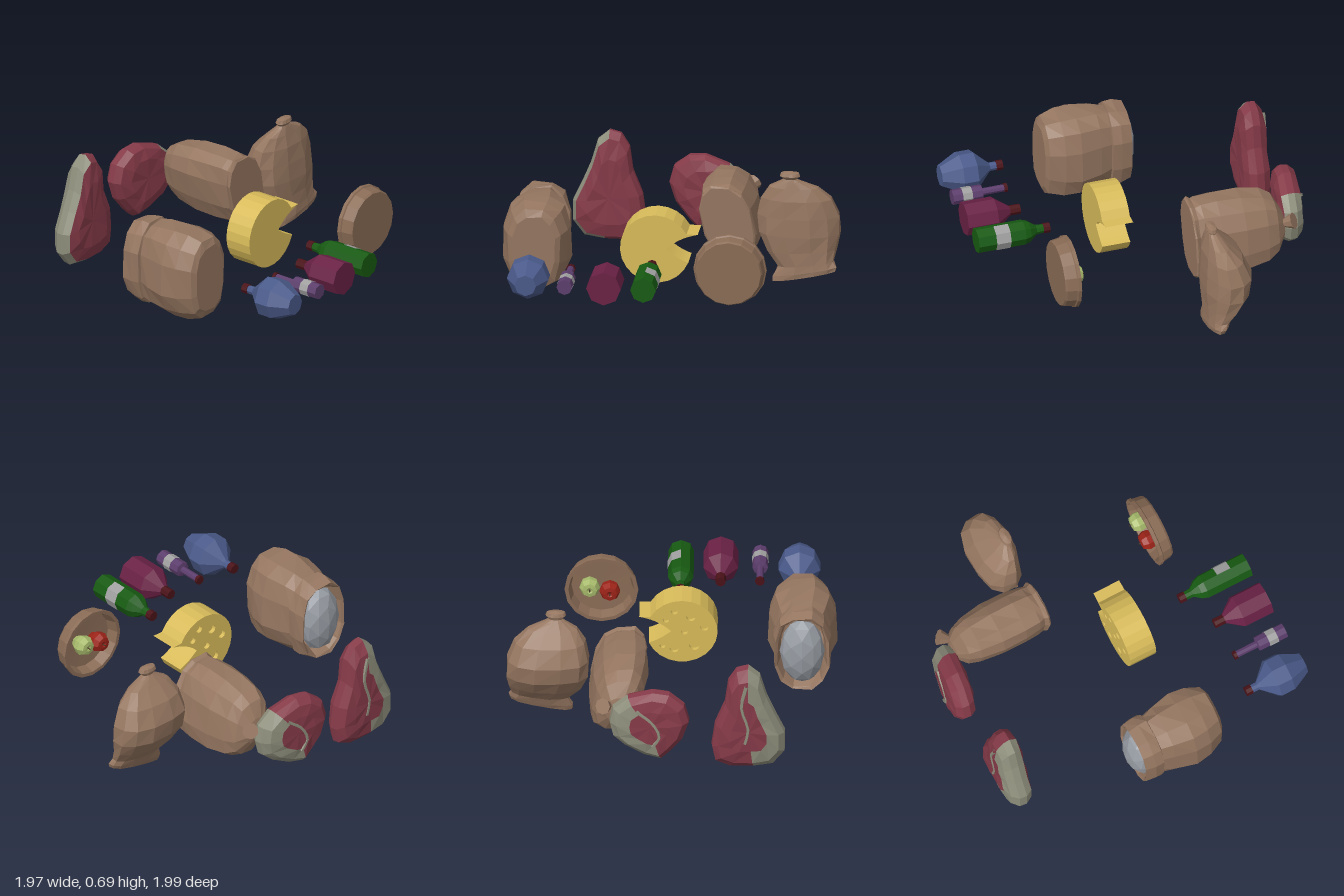
import * as THREE from 'three';

const CY = 0.355;
const BROWN = 0x957660, FAT = 0x8e8e7c, CAP = 0x4a1218;

function mesh(name, geo, color, parent) {
  const mat = new THREE.MeshStandardMaterial({ color, flatShading: true, side: THREE.DoubleSide });
  const m = new THREE.Mesh(geo, mat);
  m.name = name;
  parent.add(m);
  return m;
}

// Skin over closed rings of points; keep(row, column) selects faces
function loft(rings, keep = () => true) {
  const pos = [], n = rings[0].length;
  for (let i = 0; i < rings.length - 1; i++) for (let j = 0; j < n; j++) {
    if (!keep(i, j)) continue;
    const k = (j + 1) % n;
    const a = rings[i][j], b = rings[i][k], c = rings[i + 1][k], d = rings[i + 1][j];
    for (const p of [a, b, c, a, c, d]) pos.push(...p);
  }
  const g = new THREE.BufferGeometry();
  g.setAttribute('position', new THREE.Float32BufferAttribute(pos, 3));
  g.computeVertexNormals();
  return g;
}

// Softly squared ellipse with small lumps, as [u, v] pairs
function lumpyRing(ru, rv, row, power = 0.78, n = 12) {
  return Array.from({ length: n }, (_, j) => {
    const t = (j + 0.5) / n * Math.PI * 2, c = Math.cos(t), s = Math.sin(t);
    const k = 1 + 0.025 * Math.sin(row * 5.1 + j * 3.7);
    return [Math.sign(c) * Math.abs(c) ** power * ru * k, Math.sign(s) * Math.abs(s) ** power * rv * k];
  });
}

// Sack along z: rows of [z, half width, half height]
function lyingSack(rows, cx, lean) {
  return loft(rows.map(([z, rx, ry], i) =>
    lumpyRing(rx, ry, i).map(([u, v]) => [cx + u + lean * v, CY + v, z])));
}

// Lathe whose axis points to -z, standing on the plane z = base
function turned(name, pts, sides, x, base, color, parent) {
  const g = new THREE.LatheGeometry(pts.map(p => new THREE.Vector2(...p)), sides);
  g.rotateX(-Math.PI / 2).translate(x, CY, base);
  return mesh(name, g, color, parent);
}

function bottle(name, x, color, profile, capR, capLow, capTop, parent, label) {
  const g = new THREE.Group();
  g.name = name;
  parent.add(g);
  turned('glass', profile, 8, x, 0.99, color, g);
  turned('cap', [[0, capLow], [capR, capLow], [capR, capTop], [0, capTop]], 8, x, 0.99, CAP, g);
  if (label) {
    const { r, low, high, segments } = label;
    const l = new THREE.CylinderGeometry(r, r, high - low, segments, 1, true, 0, segments * Math.PI / 4);
    l.translate(0, (low + high) / 2, 0).rotateX(-Math.PI / 2).translate(x, CY, 0.99);
    mesh('label', l, 0xa0a0a0, g);
  }
}

// Slab of meat from an outline, with a run of its rim made of fat
function steak(name, outline, cx, cy, zAt, half, fatFrom, fatTo, seam, parent) {
  const g = new THREE.Group();
  g.name = name;
  parent.add(g);
  const rows = [[0, -1], [0.5, -0.97], [0.82, -0.8], [0.98, -0.3], [1, 0.25], [0.9, 0.75], [0.6, 1], [0, 0.96]];
  const rings = rows.map(([s, d], i) => outline.map(([x, y], j) => {
    const px = cx + (x - cx) * s, lump = s ? 1 + 0.05 * Math.sin(i * 4.3 + j * 2.9) : 1;
    return [px, cy + (y - cy) * s, zAt(px) + d * half * lump];
  }));
  const isFat = (i, j) => i >= 1 && i <= 4 && j >= fatFrom && j < fatTo;
  mesh('meat', loft(rings, (i, j) => !isFat(i, j)), 0x853a48, g);
  mesh('fat', loft(rings, isFat), FAT, g);
  // Fat seam on the back
  const path = new THREE.CatmullRomCurve3(seam.map(([x, y]) => new THREE.Vector3(x, y, zAt(x) - half * 0.93)));
  mesh('fatSeam', new THREE.TubeGeometry(path, 8, 0.012, 5), FAT, g);
}

export function createModel() {
  const root = new THREE.Group();
  root.name = 'foodSupplies';

  // Open sack with rolled collar and flour
  const open = new THREE.Group();
  open.name = 'openSack';
  root.add(open);
  mesh('cloth', lyingSack([
    [-0.08, 0.13, 0.2], [-0.165, 0.15, 0.235], [-0.175, 0.165, 0.25], [-0.11, 0.175, 0.268],
    [-0.055, 0.172, 0.27], [-0.05, 0.155, 0.255], [0.02, 0.178, 0.272], [0.15, 0.21, 0.282],
    [0.25, 0.198, 0.277], [0.34, 0.16, 0.255], [0.36, 0.13, 0.21], [0.36, 0, 0]], -0.785, 0), BROWN, open);
  const flour = mesh('flour', new THREE.IcosahedronGeometry(1, 1), 0x979ca3, open);
  flour.scale.set(0.135, 0.215, 0.1);
  flour.position.set(-0.785, CY, -0.13);

  // Tied sack lying down
  const tied = new THREE.Group();
  tied.name = 'tiedSack';
  root.add(tied);
  mesh('cloth', lyingSack([
    [-0.83, 0, 0], [-0.81, 0.07, 0.08], [-0.76, 0.12, 0.17], [-0.69, 0.145, 0.21], [-0.55, 0.165, 0.235],
    [-0.4, 0.165, 0.24], [-0.3, 0.155, 0.235], [-0.265, 0.145, 0.225], [-0.24, 0.158, 0.235],
    [-0.23, 0.15, 0.225], [-0.23, 0, 0]], 0.31, -0.2), BROWN, tied);
  const knot = mesh('knot', new THREE.CylinderGeometry(0.05, 0.028, 0.06, 8), BROWN, tied);
  knot.position.set(0.385, 0.395, -0.835);
  knot.rotation.set(-1.1, 0, -0.5);

  // Tied sack standing up: [y, centre x, centre z, half width, half depth, tilt]
  const standRows = [
    [0.05, 0.77, -0.235, 0, 0, 0.2], [0.045, 0.77, -0.235, 0.19, 0.05, 0.2], [0.075, 0.775, -0.24, 0.195, 0.058, 0.18],
    [0.12, 0.78, -0.25, 0.17, 0.065, 0.12], [0.2, 0.75, -0.285, 0.215, 0.1, 0.05], [0.3, 0.735, -0.315, 0.25, 0.135, 0],
    [0.41, 0.73, -0.325, 0.25, 0.14, 0], [0.52, 0.72, -0.305, 0.215, 0.11, 0], [0.595, 0.705, -0.275, 0.15, 0.06, 0],
    [0.635, 0.69, -0.26, 0.065, 0.035, 0], [0.65, 0.685, -0.255, 0.04, 0.025, 0], [0.67, 0.685, -0.25, 0.062, 0.035, 0],
    [0.69, 0.685, -0.25, 0.055, 0.028, 0], [0.7, 0.685, -0.25, 0, 0, 0]];
  mesh('standingSack', loft(standRows.map(([y, cx, cz, rx, rz, tilt], i) =>
    lumpyRing(rx, rz, i, 0.88).map(([u, v]) => [cx + u, y + tilt * u, cz - v]))), BROWN, root);

  // Bottles
  bottle('blueBottle', -0.76, 0x4a5a8a, [[0, 0], [0.065, 0], [0.125, 0.12], [0.125, 0.21], [0.04, 0.295],
    [0.026, 0.31], [0.026, 0.36]], 0.031, 0.35, 0.39, root);
  bottle('purpleBottle', -0.525, 0x5c3d6c, [[0, 0], [0.047, 0], [0.047, 0.185], [0.022, 0.19], [0.022, 0.33]],
    0.028, 0.325, 0.345, root, { r: 0.05, low: 0.06, high: 0.12, segments: 8 });
  bottle('redBottle', -0.29, 0x6a2145, [[0, 0], [0.104, 0], [0.104, 0.19], [0.03, 0.285], [0.026, 0.3]],
    0.031, 0.285, 0.35, root);
  bottle('greenBottle', -0.052, 0x175a12, [[0, 0], [0.077, 0], [0.077, 0.295], [0.065, 0.33], [0.03, 0.375],
    [0.026, 0.43]], 0.031, 0.42, 0.46, root, { r: 0.08, low: 0.11, high: 0.2, segments: 3 });

  // Cheese wheel with a slice removed and pits in the back face
  const cheese = new THREE.Group();
  cheese.name = 'cheese';
  root.add(cheese);
  const wheel = () => {
    const s = new THREE.Shape();
    s.moveTo(0, 0);
    s.quadraticCurveTo(0.07, 0.075, 0.19, 0.1);
    s.absarc(-0.065, 0, 0.213, 0.49, Math.PI * 2 - 0.38, false);
    s.quadraticCurveTo(0.07, -0.06, 0, 0);
    return s;
  };
  const pitted = wheel();
  for (const [x, y, r] of [[-0.2, 0.03, 0.025], [-0.14, -0.1, 0.03], [-0.12, 0.1, 0.028], [-0.08, 0, 0.022],
    [-0.02, 0.14, 0.022], [-0.02, -0.12, 0.028], [0.05, -0.1, 0.018], [0.03, 0.08, 0.02]]) {
    const hole = new THREE.Path();
    hole.absarc(x, y, r, 0, Math.PI * 2, true);
    pitted.holes.push(hole);
  }
  for (const [name, shape, z, depth] of [['wheel', wheel(), 0.105, 0.15], ['pittedFace', pitted, 0.08, 0.025]]) {
    const g = new THREE.ExtrudeGeometry(shape, { depth, bevelEnabled: false, curveSegments: 10 });
    mesh(name, g.translate(0, CY, z), 0xd8bb5a, cheese);
  }

  // Fruit bowl, opening toward the back
  const bowl = new THREE.Group();
  bowl.name = 'fruitBowl';
  root.add(bowl);
  turned('bowl', [[0, 0], [0.195, 0], [0.203, 0.012], [0.212, 0.07], [0.22, 0.075], [0.22, 0.096], [0.198, 0.096],
    [0.18, 0.03], [0, 0.022]], 16, 0.42, 0.64, 0x8a6c56, bowl);
  for (const [name, x, y, color] of [['redApple', 0.37, 0.35, 0x9c2318], ['greenApple', 0.49, 0.375, 0xa8bb6c]]) {
    const apple = turned(name, [[0, 0.01], [0.035, 0], [0.058, 0.04], [0.062, 0.075], [0.045, 0.108], [0.02, 0.112],
      [0, 0.1]], 8, x, 0.61, color, bowl);
    const stem = mesh(name + 'Stem', new THREE.CylinderGeometry(0.004, 0.004, 0.03, 5), 0x4a3424, bowl);
    stem.rotation.x = -Math.PI / 2;
    stem.position.set(x, y, 0.5);
    apple.position.y = y - CY;
  }

  // Steaks
  steak('tallSteak', [[-0.27, 0.05], [-0.25, 0.15], [-0.27, 0.3], [-0.33, 0.45], [-0.35, 0.6], [-0.4, 0.68],
    [-0.47, 0.7], [-0.54, 0.64], [-0.58, 0.5], [-0.63, 0.38], [-0.69, 0.25], [-0.69, 0.12], [-0.62, 0.03],
    [-0.5, 0.01], [-0.36, 0.01]], -0.47, 0.28, () => -0.865, 0.083, 6, 13,
  [[-0.46, 0.6], [-0.43, 0.45], [-0.47, 0.3], [-0.45, 0.2]], root);
  steak('roundSteak', [[0.05, 0.09], [0.15, 0.11], [0.27, 0.17], [0.34, 0.23], [0.36, 0.32], [0.34, 0.42],
    [0.25, 0.5], [0.1, 0.55], [0, 0.54], [-0.09, 0.47], [-0.12, 0.36], [-0.08, 0.24], [0, 0.14]],
  0.12, 0.33, x => -0.905 + 0.12 * (x - 0.12), 0.078, 0, 6,
  [[0.2, 0.44], [0.1, 0.36], [0.06, 0.27], [0.1, 0.2]], root);

  return root;
}
